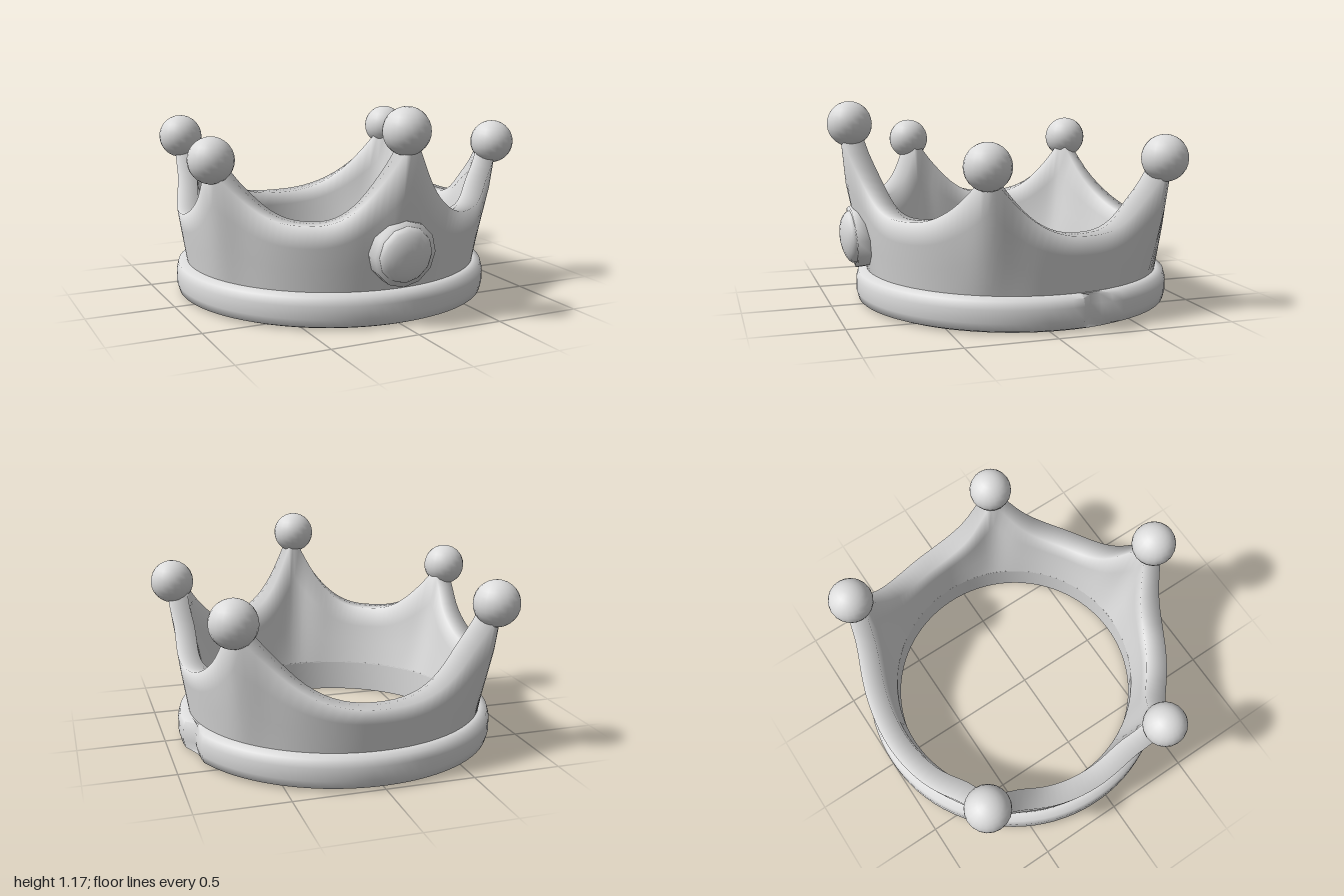
import * as THREE from 'three';
import { toCreasedNormals } from 'three/addons/utils/BufferGeometryUtils.js';

const CENTRE_Z = -0.08;
const DEG = Math.PI / 180;

// Spikes around the ring: angle from the front in degrees, height of the tip, and the ball on top
const SPIKES = [
  { angle: 0, tip: 1.03, ball: [-0.015, 1.04, 0.872], radius: 0.126 },
  { angle: 64.6, tip: 0.86, ball: [0.875, 0.873, 0.338], radius: 0.125 },
  { angle: 131.7, tip: 0.86, ball: [0.72, 0.868, -0.722], radius: 0.13 },
  { angle: 228.3, tip: 0.86, ball: [-0.725, 0.87, -0.722], radius: 0.13 },
  { angle: 295.4, tip: 0.86, ball: [-0.878, 0.873, 0.338], radius: 0.125 },
];
// Lowest height of the wall between each spike and the next
const VALLEYS = [0.555, 0.5, 0.43, 0.5, 0.555];

// Columns round the wall: angle, top height and distance to the nearest spike
function wallColumns() {
  const columns = [];
  const steps = 28;
  SPIKES.forEach((spike, i) => {
    const next = SPIKES[(i + 1) % SPIKES.length];
    const span = (next.angle - spike.angle + 360) % 360;
    for (let k = 0; k < steps; k++) {
      const t = k / steps;
      const near = t < 0.5 ? t : 1 - t;
      const tip = t < 0.5 ? spike.tip : next.tip;
      const top = VALLEYS[i] + (tip - VALLEYS[i]) * Math.pow(1 - near * 2, 2.5);
      columns.push({ angle: (spike.angle + span * t) * DEG, top, away: near * span });
    }
  });
  return columns;
}

// The wall leans outward and swells into a ridge below each spike
function outerRadius(y, away) {
  const rise = THREE.MathUtils.clamp((y - 0.2) / 0.5, 0, 1);
  const lean = 0.16 * Math.min(y - 0.19, 0.3) + 0.09 * Math.max(y - 0.49, 0);
  return 0.86 + lean + 0.055 * rise * Math.exp(-((away / 8) ** 2));
}

// Spiked wall as one sheet: up the outside, over the top and down the inside
function wallGeometry() {
  const columns = wallColumns();
  const thickness = 0.12, foot = 0.185, rows = 3;
  const positions = [], indices = [];
  const perColumn = 2 * (rows + 1);
  columns.forEach((c, i) => {
    const next = (i + 1) % columns.length;
    for (let j = 0; j < perColumn; j++) {
      const outside = j <= rows;
      const t = (outside ? j : perColumn - 1 - j) / rows;
      const y = THREE.MathUtils.lerp(foot, c.top, t);
      const r = outerRadius(y, c.away) - (outside ? 0 : thickness);
      positions.push(r * Math.sin(c.angle), y, r * Math.cos(c.angle));
      if (j < perColumn - 1) {
        const a = i * perColumn + j, b = next * perColumn + j;
        indices.push(a, b, b + 1, a, b + 1, a + 1);
      }
    }
  });
  const geometry = new THREE.BufferGeometry();
  geometry.setAttribute('position', new THREE.Float32BufferAttribute(positions, 3));
  geometry.setIndex(indices);
  return toCreasedNormals(geometry, 115 * DEG);
}

// Rounded base band with a small notch in its left side
function bandGeometry() {
  const profile = [
    [0.74, 0], [0.87, 0], [0.91, 0.016], [0.922, 0.06],
    [0.922, 0.13], [0.91, 0.174], [0.87, 0.19], [0.74, 0.19], [0.74, 0],
  ].map(([r, y]) => new THREE.Vector2(r, y));
  const geometry = new THREE.LatheGeometry(profile, 90);
  const p = geometry.attributes.position;
  for (let i = 0; i < p.count; i++) {
    const x = p.getX(i), z = p.getZ(i);
    const angle = Math.atan2(x, z) / DEG;
    const r = Math.hypot(x, z);
    if (angle > 98 && angle < 112 && r > 0.88) {
      const s = (r - 0.05 * (112 - angle) / 12) / r;
      p.setX(i, x * s);
      p.setZ(i, z * s);
    }
  }
  return toCreasedNormals(geometry, 60 * DEG);
}

export function createModel() {
  const crown = new THREE.Group();
  crown.name = 'crown';
  const metal = new THREE.MeshStandardMaterial({ color: 0xdcdcdc });
  metal.name = 'light grey metal';

  const add = (name, geometry, parent = crown) => {
    const mesh = new THREE.Mesh(geometry, metal);
    mesh.name = name;
    parent.add(mesh);
    return mesh;
  };

  // Base band and the spiked wall above it
  add('baseBand', bandGeometry()).position.z = CENTRE_Z;
  add('spikedWall', wallGeometry()).position.z = CENTRE_Z;

  // Ball on each spike
  for (const spike of SPIKES) {
    add('spikeBall', new THREE.SphereGeometry(spike.radius, 20, 14)).position.set(...spike.ball);
  }

  // Front jewel: a twelve-sided setting with a low domed stone
  const jewel = new THREE.Group();
  jewel.name = 'frontJewel';
  jewel.position.set(-0.01, 0.398, 0.83);
  jewel.rotation.x = 0.09;
  crown.add(jewel);
  const setting = new THREE.CylinderGeometry(0.18, 0.18, 0.08, 12).rotateX(Math.PI / 2);
  add('jewelSetting', toCreasedNormals(setting, 100 * DEG), jewel);
  const stone = new THREE.SphereGeometry(0.155, 12, 6, 0, Math.PI * 2, 0, Math.PI / 2);
  stone.rotateX(Math.PI / 2).scale(1, 1, 0.46);
  add('jewelStone', stone, jewel).position.z = 0.038;

  return crown;
}
